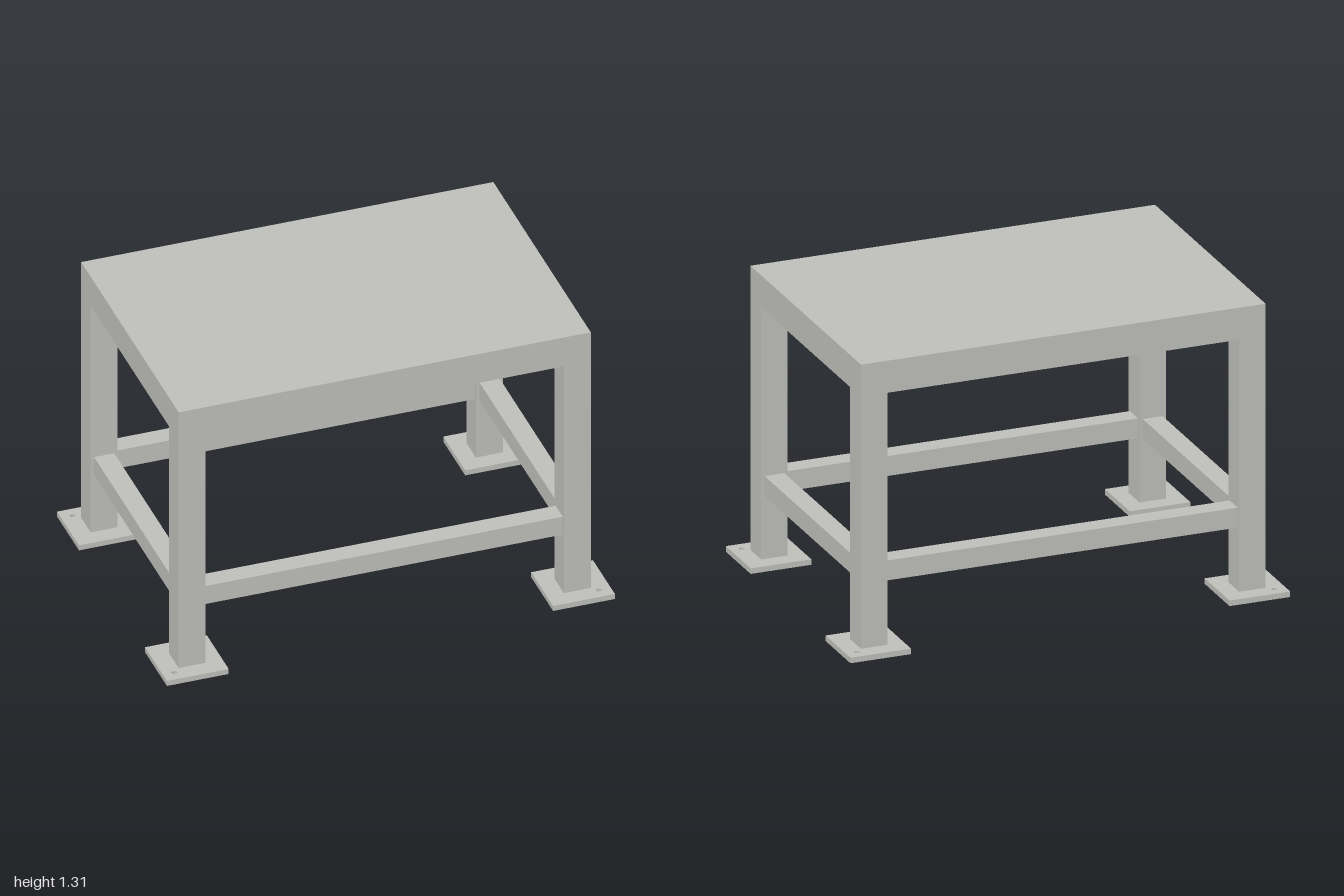
import * as THREE from 'three';

export function createModel() {
  const group = new THREE.Group();
  const steel = new THREE.MeshStandardMaterial({ color: 0xbebeb9 });
  steel.name = 'light grey steel';

  const legX = 0.86, legZ = 0.553;      // leg centres
  const tube = 0.12, bar = 0.09;        // square sections
  const plate = 0.025, height = 1.31;   // sheet thickness, total height
  const underTop = height - plate;
  const spanX = 2 * legX - tube, spanZ = 2 * legZ - tube;

  const add = (name, geometry, x, y, z) => {
    const mesh = new THREE.Mesh(geometry, steel);
    mesh.name = name;
    mesh.position.set(x, y, z);
    group.add(mesh);
    return mesh;
  };
  const box = (name, w, h, d, x, y, z) => add(name, new THREE.BoxGeometry(w, h, d), x, y, z);

  // Table top sheet
  box('tableTop', 2 * legX + tube, plate, 2 * legZ + tube, 0, height - plate / 2, 0);

  // Foot plate with one bolt hole at its outer corner
  const footPlate = (sx, sz) => {
    const h = 0.138;
    const shape = new THREE.Shape([
      new THREE.Vector2(-h, -h), new THREE.Vector2(h, -h),
      new THREE.Vector2(h, h), new THREE.Vector2(-h, h),
    ]);
    const hole = new THREE.Path();
    hole.absarc(sx * 0.086, -sz * 0.086, 0.012, 0, Math.PI * 2, true);
    shape.holes.push(hole);
    return new THREE.ExtrudeGeometry(shape, { depth: plate, bevelEnabled: false, curveSegments: 16 })
      .rotateX(-Math.PI / 2);
  };

  // Legs and feet at the four corners
  for (const sx of [-1, 1]) {
    for (const sz of [-1, 1]) {
      const name = (sz > 0 ? 'front' : 'back') + (sx > 0 ? 'Left' : 'Right');
      box(name + 'Leg', tube, underTop - plate, tube, sx * legX, (underTop + plate) / 2, sz * legZ);
      add(name + 'Foot', footPlate(sx, sz), sx * (1 - 0.138), 0, sz * legZ);
    }
  }

  // Top rails and lower stretchers on each side
  const railY = underTop - tube / 2, barY = 0.355;
  for (const s of [-1, 1]) {
    const longSide = s > 0 ? 'front' : 'back', shortSide = s > 0 ? 'left' : 'right';
    box(longSide + 'Rail', spanX, tube, tube, 0, railY, s * legZ);
    box(shortSide + 'Rail', tube, tube, spanZ, s * legX, railY, 0);
    box(longSide + 'Stretcher', spanX, bar, bar, 0, barY, s * legZ);
    box(shortSide + 'Stretcher', bar, bar, spanZ, s * legX, barY, 0);
  }

  // Middle beam under the top
  box('crossBeam', tube, tube, spanZ, 0, railY, 0);

  return group;
}
